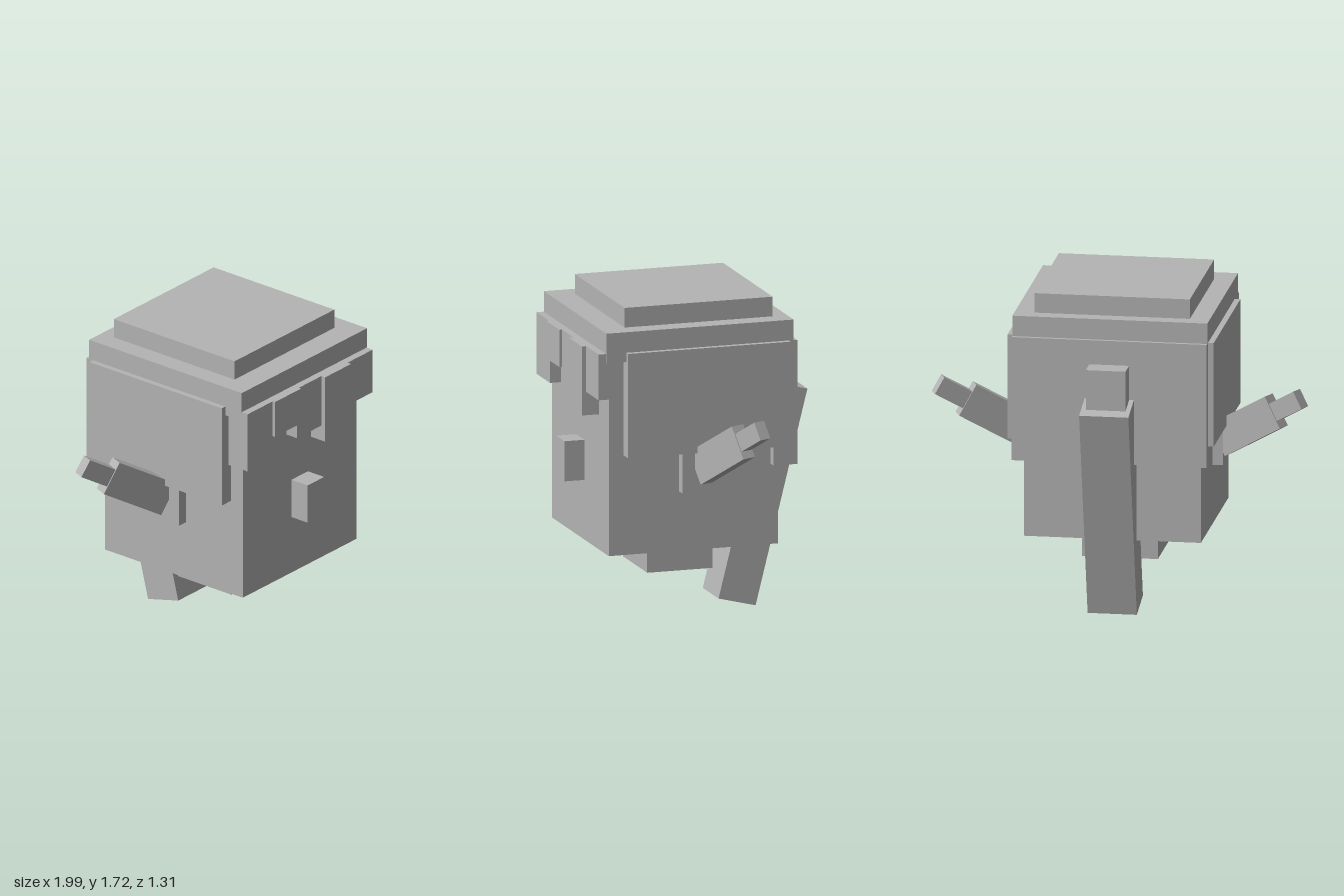
import * as THREE from 'three';

export function createModel() {
  const model = new THREE.Group();
  const grey = new THREE.MeshStandardMaterial({ color: 0xb4b4b4 });
  grey.name = 'grey';

  // Adds a block given by its extent along each axis
  function block(name, [x0, x1], [y0, y1], [z0, z1], parent = model) {
    const mesh = new THREE.Mesh(new THREE.BoxGeometry(x1 - x0, y1 - y0, z1 - z0), grey);
    mesh.position.set((x0 + x1) / 2, (y0 + y1) / 2, (z0 + z1) / 2);
    mesh.name = name;
    parent.add(mesh);
    return mesh;
  }

  // Head, neck and nose
  block('head', [-0.47, 0.465], [0.41, 1.48], [-0.38, 0.55]);
  block('neck', [-0.2, 0.2], [0.24, 0.41], [-0.11, 0.25]);
  block('nose', [-0.07, 0.065], [0.73, 0.945], [0.54, 0.66]);

  // Hair on the crown and the back of the head
  block('hairTop', [-0.41, 0.41], [1.6, 1.72], [-0.37, 0.445]);
  block('hairCap', [-0.515, 0.515], [1.455, 1.615], [-0.45, 0.58]);
  block('backHair', [-0.515, 0.515], [0.84, 1.505], [-0.47, -0.34]);

  // Fringe locks: x extent, lower end, front
  const locks = [
    [-0.515, -0.295, 1.175, 0.62],
    [-0.31, -0.095, 1.305, 0.635],
    [-0.11, 0.1, 1.22, 0.62],
    [0.09, 0.305, 1.135, 0.645],
    [0.295, 0.51, 1.26, 0.621],
  ];
  locks.forEach(([x0, x1, y, z], i) =>
    block('fringeLock' + (i + 1), [x0, x1], [y, 1.505], [0.49, z]));

  // Ponytail with its tie
  block('hairTie', [-0.105, 0.105], [1.15, 1.375], [-0.59, -0.46]);
  const ponytail = block('ponytail', [-0.13, 0.13], [0.0125, 1.1875], [-0.515, -0.305]);
  ponytail.rotation.x = -0.245;

  // Side hair, inner ears and long outer ears
  for (const [side, s] of [['left', 1], ['right', -1]]) {
    const span = (a, b) => (s > 0 ? [a, b] : [-b, -a]);
    block(side + 'SideHair', span(0.46, 0.545), [0.945, 1.505], [-0.425, 0.47]);
    block(side + 'EarBase', span(0.46, 0.525), [0.73, 0.955], [0.005, 0.165]);

    const ear = new THREE.Group();
    ear.name = side + 'Ear';
    ear.position.set(s * 0.664, 0.958, -0.006);
    ear.rotation.set(0, s > 0 ? 0.4 : Math.PI - 0.4, Math.PI / 6, 'YXZ');
    block(side + 'EarBlade', [-0.195, 0.195], [-0.0925, 0.0925], [-0.04, 0.04], ear);
    block(side + 'EarTip', [0.18, 0.368], [-0.05, 0.05], [-0.034, 0.034], ear);
    model.add(ear);
  }
  return model;
}
